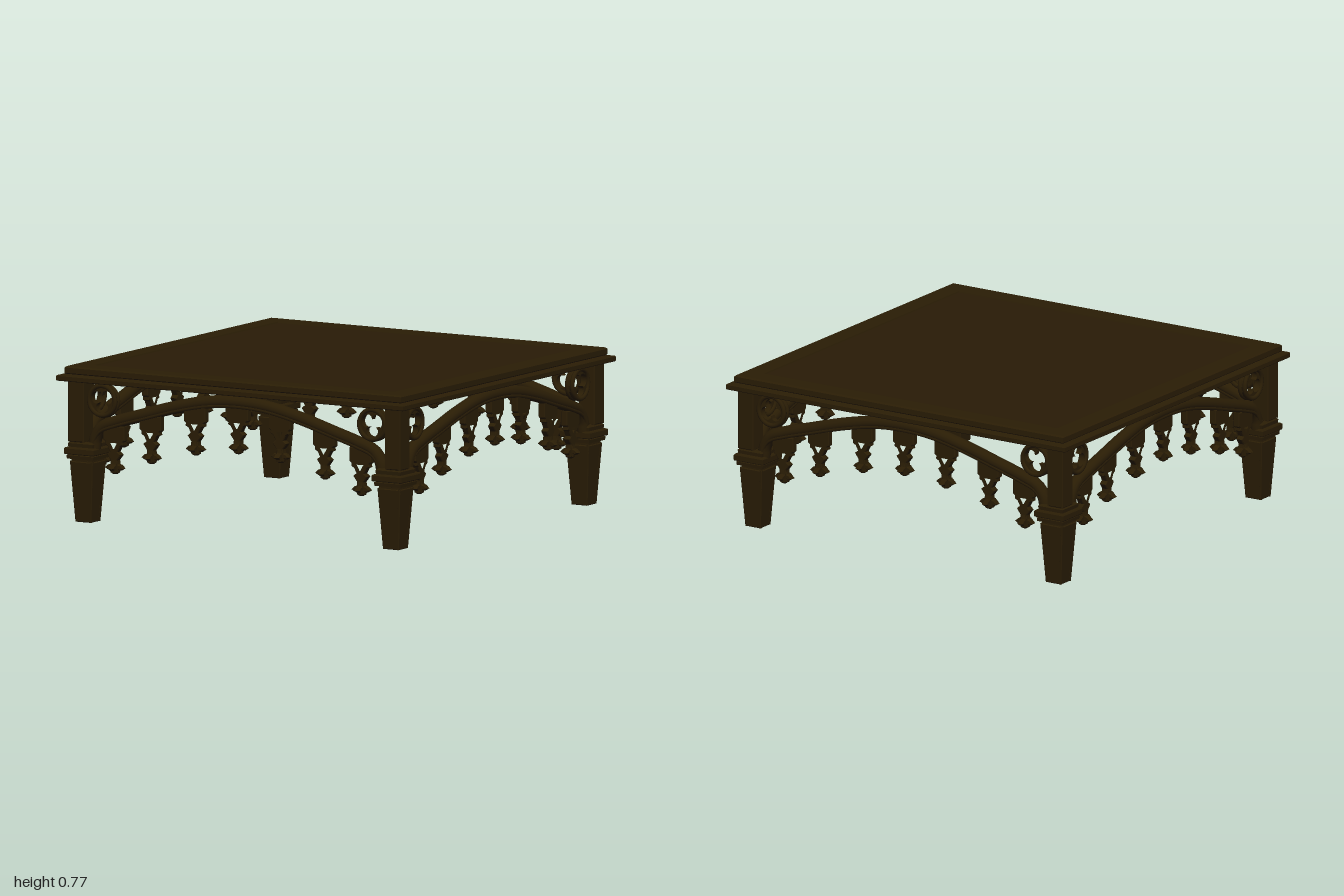
import * as THREE from 'three';

const wood = new THREE.MeshStandardMaterial({ color: 0x2a1d05 });
wood.name = 'dark wood';
const panelWood = new THREE.MeshStandardMaterial({ color: 0x291b06 });
panelWood.name = 'panel wood';
const underWood = new THREE.MeshStandardMaterial({ color: 0x6e4c34 });
underWood.name = 'underside wood';

function add(parent, name, geometry, material = wood, x = 0, y = 0, z = 0) {
  const mesh = new THREE.Mesh(geometry, material);
  mesh.name = name;
  mesh.position.set(x, y, z);
  parent.add(mesh);
  return mesh;
}

// Square moulding: points are [half width, height], bottom to top
function squareProfile(points) {
  const pts = points.map(([r, y]) => new THREE.Vector2(r * Math.SQRT2, y));
  const g = new THREE.LatheGeometry(pts, 4, Math.PI / 4).toNonIndexed();
  g.computeVertexNormals();
  return g;
}

function extrude(shape, depth, bevel = 0) {
  const g = new THREE.ExtrudeGeometry(shape, {
    depth: depth - 2 * bevel, curveSegments: 8,
    bevelEnabled: bevel > 0, bevelThickness: bevel, bevelSize: bevel, bevelOffset: -bevel, bevelSegments: 1,
  });
  return g.translate(0, 0, -depth / 2 + bevel);
}

const vectors = (pts) => pts.map(([x, y]) => new THREE.Vector2(x, y));

// Mirrors a right-hand outline (top to bottom) into a closed shape
function symmetric(half) {
  return new THREE.Shape(vectors([...half, ...half.slice().reverse().map(([x, y]) => [-x, y])]));
}

// Raised bevelled border around a tapered panel: bottom and top half widths
function panelBorder(bottom, top, height, rim) {
  const shape = symmetric([[top, height], [bottom, 0]]);
  const b = bottom - rim, t = top - rim, h = height - rim;
  shape.holes.push(new THREE.Path(vectors([[-b, rim], [-t, h], [t, h], [b, rim]])));
  return extrude(shape, 0.014, 0.004);
}

// Spandrel disc pierced by a trefoil
function roundel() {
  const shape = new THREE.Shape().absarc(0, 0, 0.08, 0, Math.PI * 2);
  const pts = [];
  for (let i = 0; i < 60; i++) {
    const a = (i / 60) * Math.PI * 2;
    const r = 0.026 + 0.036 * Math.sqrt(Math.abs(Math.cos(1.5 * (a + Math.PI / 2))));
    pts.push(new THREE.Vector2(r * Math.cos(a), r * Math.sin(a)));
  }
  shape.holes.push(new THREE.Path(pts));
  return extrude(shape, 0.03);
}

// Pendant outline: pierced bracket above, leafy drop below
function pendantGeometries() {
  const body = symmetric([
    [0.062, 0.24], [0.062, 0.17], [0.05, 0.16], [0.052, 0.146], [0.036, 0.138], [0.022, 0.112],
    [0.04, 0.098], [0.03, 0.084], [0.019, 0.07], [0.021, 0.045],
  ]);
  body.holes.push(new THREE.Path(vectors([[-0.024, 0.158], [0.024, 0.158], [0.005, 0.122], [-0.005, 0.122]])));
  const leaf = symmetric([
    [0.018, 0.07], [0.022, 0.05], [0.036, 0.046], [0.053, 0.03],
    [0.034, 0.019], [0.024, 0.023], [0.021, 0.007], [0.006, 0],
  ]);
  return { body: extrude(body, 0.036, 0.004), leaf: extrude(leaf, 0.03, 0.005) };
}

function createTop(root) {
  const top = new THREE.Group();
  top.name = 'tableTop';
  root.add(top);
  add(top, 'topFrame', squareProfile([
    [0.8, 0.703], [0.996, 0.703], [1, 0.707], [1, 0.727], [0.996, 0.731], [0.965, 0.736],
    [0.97, 0.741], [0.97, 0.767], [0.962, 0.774], [0.864, 0.774], [0.86, 0.766],
  ]));
  add(top, 'topPanel', new THREE.BoxGeometry(1.724, 0.06, 1.724), panelWood, 0, 0.738, 0);
  add(top, 'underside', new THREE.BoxGeometry(1.66, 0.008, 1.66), underWood, 0, 0.704, 0);
}

function createLeg() {
  const leg = new THREE.Group();
  leg.name = 'leg';
  const post = new THREE.Group();
  post.name = 'post';
  post.position.set(0.026, 0, 0.026);
  leg.add(post);
  // Tapered foot and square post
  add(leg, 'foot', squareProfile([[0, 0], [0.04, 0], [0.06, 0.305], [0, 0.305]]));
  add(post, 'postCore', new THREE.BoxGeometry(0.08, 0.32, 0.08), wood, 0, 0.545, 0);
  // Recessed panels on every face
  const footBorder = panelBorder(0.046, 0.066, 0.303, 0.017);
  footBorder.rotateX(Math.atan2(0.02, 0.305)).translate(0, 0, 0.039);
  const postBorder = panelBorder(0.046, 0.046, 0.305, 0.02).translate(0, 0.4, 0.039);
  for (let i = 0; i < 4; i++) {
    add(leg, 'footBorder', footBorder).rotation.y = i * Math.PI / 2;
    add(post, 'postBorder', postBorder).rotation.y = i * Math.PI / 2;
  }
  // Moulded collar
  add(leg, 'collar', squareProfile([
    [0, 0.3], [0.058, 0.3], [0.058, 0.312], [0.075, 0.315], [0.077, 0.332], [0.07, 0.335], [0.084, 0.338],
    [0.086, 0.342], [0.086, 0.366], [0.082, 0.371], [0.07, 0.374], [0.072, 0.392], [0.06, 0.402], [0, 0.402],
  ]));
  return leg;
}

function createSide(flips) {
  const side = new THREE.Group();
  side.name = 'apron';
  // Depressed arch with a beaded lower edge
  const half = [[0.83, 0.37], [0.822, 0.425], [0.785, 0.478], [0.7, 0.512], [0.55, 0.556], [0.36, 0.61], [0.17, 0.65]];
  const path = (drop, z) => new THREE.CatmullRomCurve3(
    [...half.map(([x, y]) => [-x, y]), [0, 0.661], ...half.slice().reverse()]
      .map(([x, y]) => new THREE.Vector3(x, y - drop, z)));
  add(side, 'arch', new THREE.TubeGeometry(path(0, 0), 64, 0.032, 12));
  for (const z of [-0.022, 0.022]) add(side, 'archBead', new THREE.TubeGeometry(path(0.019, z), 64, 0.01, 6));

  // Pierced roundels in the corners
  const disc = roundel();
  const rim = new THREE.TorusGeometry(0.074, 0.012, 8, 32);
  [-1, 1].forEach((s, i) => {
    add(side, 'roundel', disc, wood, s * 0.778, 0.612, 0).rotation.z = flips[i] * Math.PI;
    for (const z of [-0.014, 0.014]) add(side, 'roundelRim', rim, wood, s * 0.778, 0.612, z);
  });

  // Row of hanging pendants
  const { body, leaf } = pendantGeometries();
  for (const [px, y] of [[0, 0.405], [0.245, 0.38], [0.5, 0.318], [0.71, 0.252]]) {
    for (const s of px ? [-1, 1] : [1]) {
      const pendant = new THREE.Group();
      pendant.name = 'pendant';
      pendant.position.set(s * px, y, 0);
      side.add(pendant);
      add(pendant, 'pendantBody', body);
      add(pendant, 'pendantLeaf', leaf);
      add(pendant, 'pendantCrossLeaf', leaf).rotation.y = Math.PI / 2;
    }
  }
  return side;
}

export function createModel() {
  const root = new THREE.Group();
  root.name = 'table';
  createTop(root);

  const flips = [[0, 0], [0, 0], [1, 0], [1, 1]];
  for (let i = 0; i < 4; i++) {
    const quarter = new THREE.Group();
    quarter.name = 'quarter';
    quarter.rotation.y = i * Math.PI / 2;
    const leg = createLeg();
    leg.position.set(0.886, 0, 0.886);
    const side = createSide(flips[i]);
    side.position.z = 0.915;
    quarter.add(leg, side);
    root.add(quarter);
  }
  return root;
}
